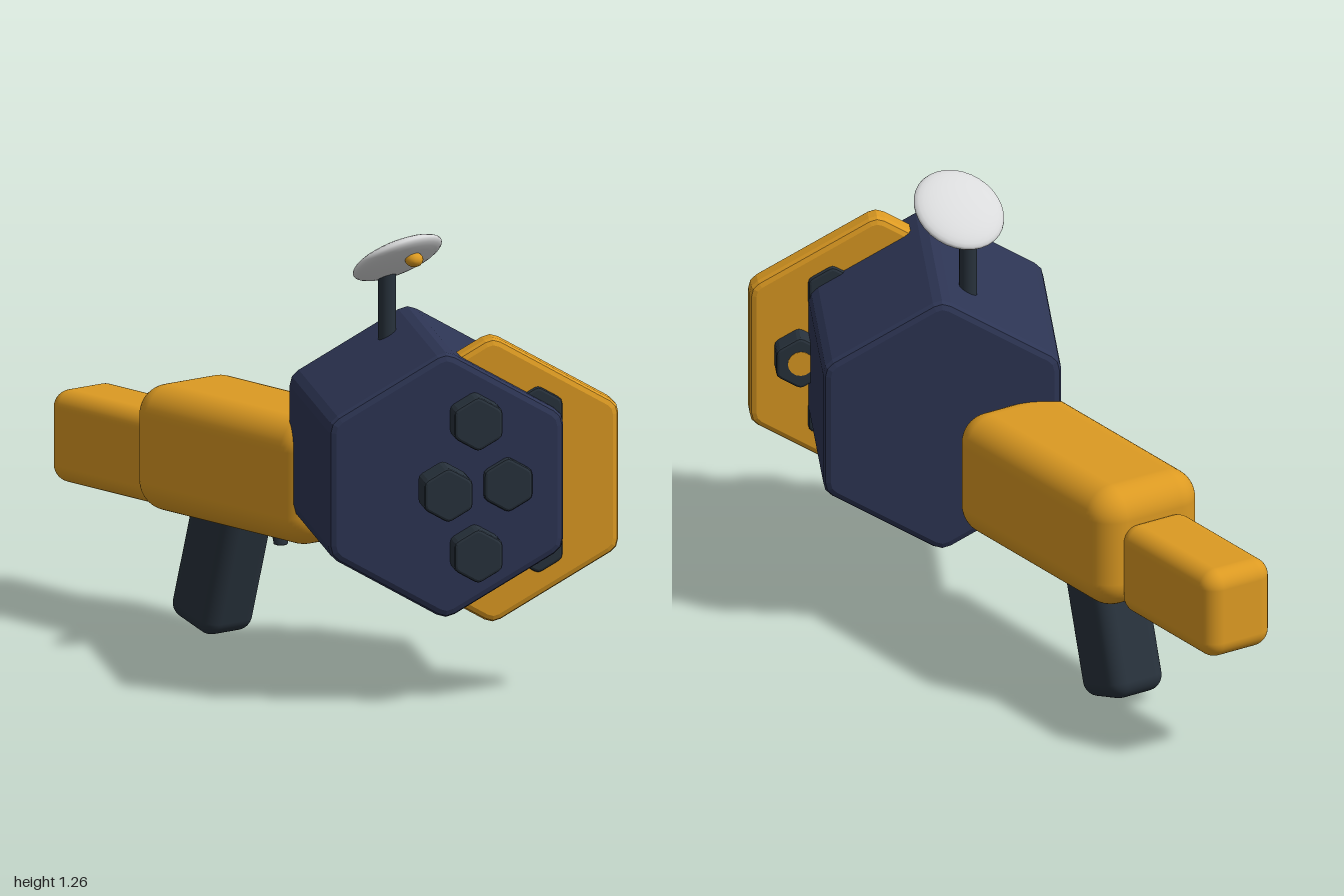
import * as THREE from 'three';
import { RoundedBoxGeometry } from 'three/addons/geometries/RoundedBoxGeometry.js';

const mat = (name, color) => Object.assign(new THREE.MeshStandardMaterial({ color }), { name });

// Hexagonal prism along z, point up, with clipped corners and bevelled rims
function hexPrism(radius, depth, bevel) {
  const r = radius - bevel * 1.15;
  const shape = new THREE.Shape();
  const corner = (i) => new THREE.Vector2(Math.sin(i * Math.PI / 3), Math.cos(i * Math.PI / 3)).multiplyScalar(r);
  const clip = bevel / r;
  for (let i = 0; i < 6; i++) {
    const c = corner(i);
    const a = c.clone().lerp(corner(i + 5), clip);
    const b = c.clone().lerp(corner(i + 1), clip);
    if (i === 0) shape.moveTo(a.x, a.y); else shape.lineTo(a.x, a.y);
    shape.quadraticCurveTo(c.x, c.y, b.x, b.y);
  }
  shape.closePath();
  const geo = new THREE.ExtrudeGeometry(shape, {
    depth: depth - 2 * bevel, bevelEnabled: true, bevelSize: bevel,
    bevelThickness: bevel, bevelSegments: 2, curveSegments: 2,
  });
  return geo.translate(0, 0, -depth / 2 + bevel);
}

export function createModel() {
  const model = new THREE.Group();
  model.name = 'launcher';
  const navy = mat('navy', 0x2d3554);
  const dark = mat('dark slate', 0x28323c);
  const yellow = mat('amber', 0xdc9a22);
  const white = mat('light grey', 0xd9dadb);

  const add = (name, geo, material, x, y, z, parent = model) => {
    const mesh = new THREE.Mesh(geo, material);
    mesh.name = name;
    mesh.position.set(x, y, z);
    parent.add(mesh);
    return mesh;
  };
  const turn = -Math.PI / 6;
  const midY = 0.632;

  // Turned hexagonal housing and the front plate pushed through it
  add('housing', hexPrism(0.38, 0.66, 0.02), navy, 0, midY, 0.505).rotation.y = turn;
  add('frontPlate', hexPrism(0.407, 0.08, 0.018), yellow, 0, midY, 0.783).rotation.y = turn;

  // Seven muzzles: one in the centre, six in a ring
  const muzzleGeo = hexPrism(0.078, 0.108, 0.008);
  const coreGeo = new THREE.CylinderGeometry(0.036, 0.036, 0.008, 16).rotateX(Math.PI / 2);
  for (let i = 0; i < 7; i++) {
    const a = i * Math.PI / 3;
    const r = i < 6 ? 0.215 : 0;
    const muzzle = new THREE.Group();
    muzzle.name = 'muzzle' + (i + 1);
    muzzle.position.set(r * Math.cos(a), midY + r * Math.sin(a), 0.845);
    muzzle.rotation.y = turn;
    add('muzzleTube', muzzleGeo, dark, 0, 0, 0, muzzle);
    add('muzzleCore', coreGeo, yellow, 0, 0, -0.052, muzzle);
    model.add(muzzle);
  }

  // Receiver and stock
  add('receiver', new RoundedBoxGeometry(0.35, 0.355, 0.745, 6, 0.085), yellow, 0, 0.522, -0.203);
  add('stock', new RoundedBoxGeometry(0.22, 0.26, 0.45, 6, 0.05), yellow, 0, 0.475, -0.775);

  // Slanted grip
  add('grip', new RoundedBoxGeometry(0.178, 0.42, 0.19, 5, 0.045), dark, 0, 0.226, -0.37).rotation.x = 0.285;

  // Curved trigger
  const triggerPath = new THREE.QuadraticBezierCurve3(
    new THREE.Vector3(0, 0.36, -0.155),
    new THREE.Vector3(0, 0.335, -0.128),
    new THREE.Vector3(0, 0.298, -0.122));
  const triggerGeo = new THREE.TubeGeometry(triggerPath, 8, 0.02, 8);
  add('trigger', triggerGeo, dark, 0, 0, 0);
  add('triggerTip', new THREE.SphereGeometry(0.02, 10, 6).scale(1, 0.3, 1), dark, 0, 0.299, -0.122);

  // Mast, tilted dish and its feed bead
  add('mast', new THREE.CylinderGeometry(0.025, 0.025, 0.21, 16), dark, 0, 1.055, 0.335);
  const dish = add('dish', new THREE.SphereGeometry(0.132, 32, 16), white, 0, 1.187, 0.38);
  dish.scale.y = 0.24;
  dish.rotation.x = -0.61;
  add('feedBead', new THREE.SphereGeometry(0.026, 12, 8).scale(1, 0.8, 1), yellow, 0, 1.193, 0.452);

  return model;
}
